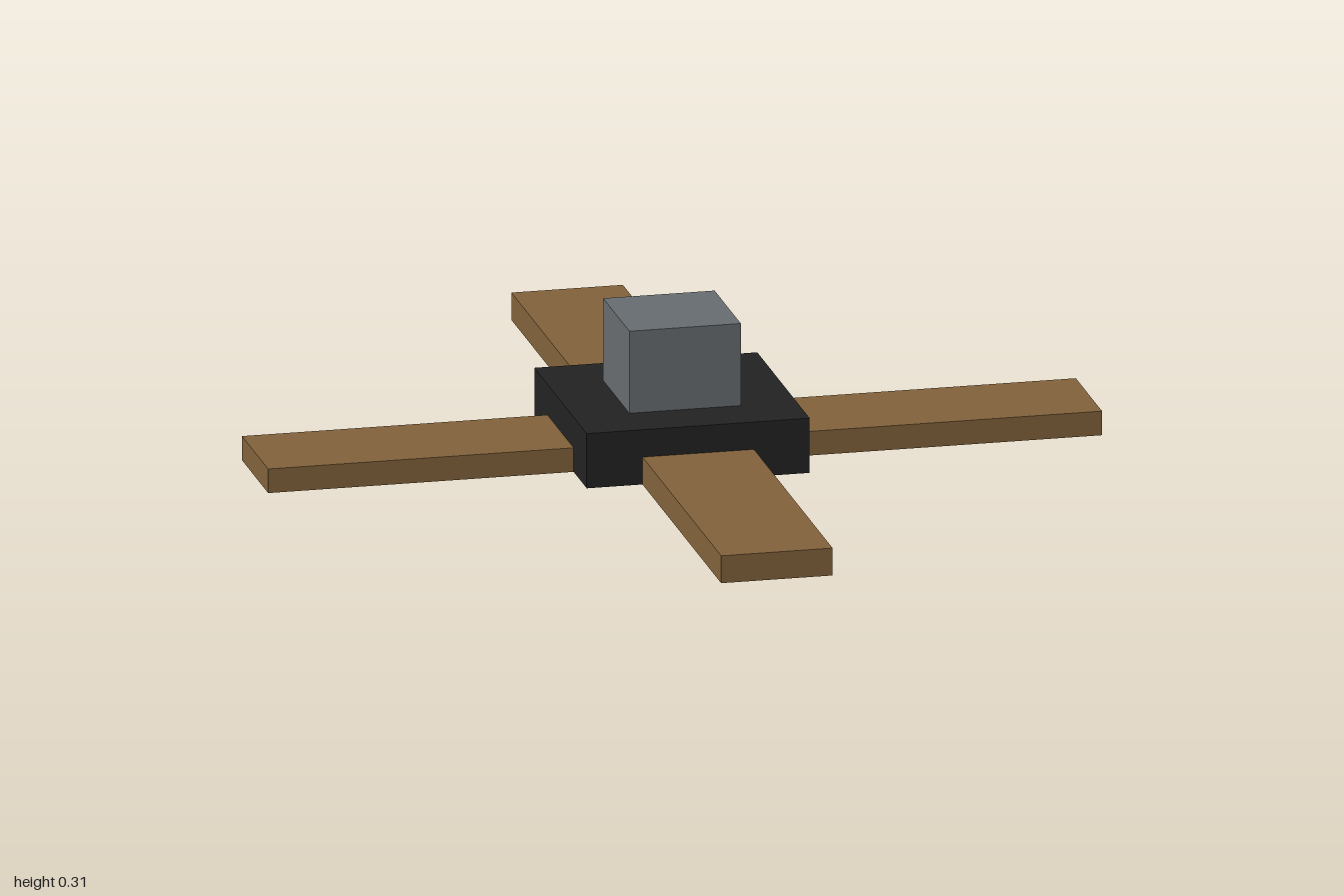
import * as THREE from 'three';

const makeMaterial = (name, color) => {
  const material = new THREE.MeshStandardMaterial({ color, side: THREE.DoubleSide });
  material.name = name;
  return material;
};

// Thin-walled box standing at height y, with its underside left open
function openBox(name, width, height, depth, y, material) {
  const geometry = new THREE.BoxGeometry(width, height, depth);
  const index = Array.from(geometry.index.array);
  index.splice(18, 6); // drop the bottom face
  geometry.setIndex(index);
  geometry.clearGroups();
  geometry.translate(0, y + height / 2, 0);
  const mesh = new THREE.Mesh(geometry, material);
  mesh.name = name;
  return mesh;
}

export function createModel() {
  const wood = makeMaterial('brown wood', 0x80613a);
  const black = makeMaterial('black', 0x222222);
  const grey = makeMaterial('grey metal', 0x666b6f);

  const model = new THREE.Group();
  model.name = 'crossStand';
  model.add(
    // Two crossing planks; the sideways one is slightly lower
    openBox('sidePlank', 1.87, 0.055, 0.25, 0, wood),
    openBox('frontBackPlank', 0.25, 0.0625, 2, 0, wood),
    // Square hub over the crossing, with the block on top
    openBox('hub', 0.5, 0.125, 0.5, 0, black),
    openBox('topBlock', 0.25, 0.1875, 0.25, 0.125, grey)
  );
  return model;
}
